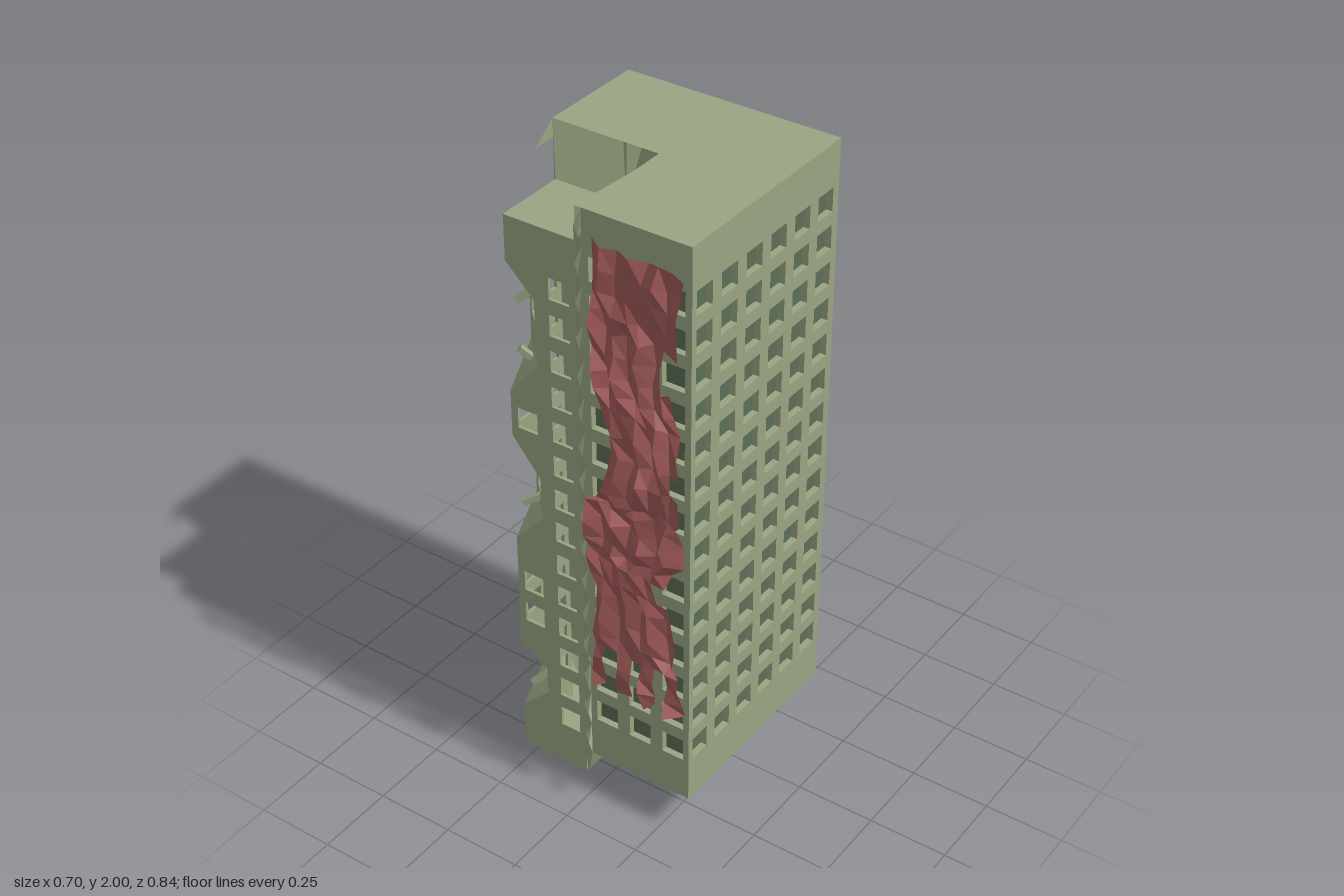
import * as THREE from 'three';
import { ConvexGeometry } from 'three/addons/geometries/ConvexGeometry.js';

const T = 0.02;                       // wall thickness
const X0 = -0.355, X1 = 0.34, Z0 = -0.335, Z1 = 0.36, BASE = 0.145, TOP = 2;
const NX = -0.005, NZ = 0.015;        // inner faces of the missing corner
const PX0 = -0.3, PX1 = -0.065, PZ0 = 0.08, PZ1 = 0.31, PTOP = 1.86; // sunken corner
const ROWS = Array.from({ length: 14 }, (_, i) => 0.323 + i * 0.1156);
const COLS_Z = [0.305, 0.19, 0.075, -0.04, -0.155, -0.27];
const COLS_X = [0.285, 0.17, 0.053, -0.063, -0.18, -0.285];
// Caved-in stretches of the sunken corner: upper end, upper bend, lower bend, lower end
const DENTS = [[1.72, 1.62, 1.42, 1.3], [1.15, 1.03, 0.9, 0.79], [0.4, 0.33, 0.25, 0.15]];
const BITE = 0.1;

const material = (color) => new THREE.MeshStandardMaterial({ color, flatShading: true, side: THREE.DoubleSide });
const concrete = material(0x9aa583), glass = material(0x5c6e57), cloth = material(0xa05a58);

let seed = 7;
const rand = () => (seed = (seed * 16807) % 2147483647) / 2147483647;

export function createModel() {
  const model = new THREE.Group();

  const add = (name, geometry, mat = concrete, parent = model) => {
    const mesh = new THREE.Mesh(geometry, mat);
    mesh.name = name;
    parent.add(mesh);
    return mesh;
  };

  // Triangles and quads given as lists of corners
  const faces = (name, polys, mat = concrete) => {
    const pos = [];
    for (const p of polys)
      for (let i = 1; i < p.length - 1; i++) pos.push(...p[0], ...p[i], ...p[i + 1]);
    const g = new THREE.BufferGeometry();
    g.setAttribute('position', new THREE.Float32BufferAttribute(pos, 3));
    g.computeVertexNormals();
    return add(name, g, mat);
  };

  // Wall panel with window openings; its outer face lies at local z = 0
  const wall = (name, outline, cols, rows, size = 0.074) => {
    const shape = new THREE.Shape(outline.map(([u, v]) => new THREE.Vector2(u, v)));
    const h = size / 2;
    for (const u of cols)
      for (const v of rows) {
        shape.holes.push(new THREE.Path([
          new THREE.Vector2(u - h, v - h), new THREE.Vector2(u - h, v + h),
          new THREE.Vector2(u + h, v + h), new THREE.Vector2(u + h, v - h)]));
      }
    const g = new THREE.ExtrudeGeometry(shape, { depth: T, bevelEnabled: false });
    return add(name, g.translate(0, 0, -T));
  };
  const rect = (a, b, y0 = BASE + T, y1 = TOP - T) => [[a, y0], [b, y0], [b, y1], [a, y1]];

  // L-shaped slab; inset pulls every side in
  const slab = (name, y0, y1, inset, mat) => {
    const a = X0 + inset, b = X1 - inset, c = Z0 + inset, d = Z1 - inset;
    const nx = NX + inset, nz = NZ - inset;
    const pts = [[a, c], [b, c], [b, d], [nx, d], [nx, nz], [a, nz]];
    const shape = new THREE.Shape(pts.map(([x, z]) => new THREE.Vector2(x, -z)));
    const g = new THREE.ExtrudeGeometry(shape, { depth: y1 - y0, bevelEnabled: false });
    add(name, g.rotateX(-Math.PI / 2).translate(0, y0, 0), mat);
  };

  // Main tower
  slab('roof', TOP - T, TOP, 0, concrete);
  slab('floorSlab', BASE, BASE + T, 0, concrete);
  slab('windowPanes', BASE + T, TOP - T, T, glass);
  wall('frontWall', rect(NX, X1), COLS_X.slice(0, 3), ROWS).position.z = Z1;
  const back = wall('backWall', rect(-X1, -X0), COLS_X.map((x) => -x), ROWS);
  back.rotation.y = Math.PI;
  back.position.z = Z0;
  const right = wall('rightSideWall', rect(-Z1, -Z0), COLS_Z.map((z) => -z), ROWS);
  right.rotation.y = Math.PI / 2;
  right.position.x = X1;
  const left = wall('leftSideWall', rect(Z0, NZ), COLS_Z.slice(3), ROWS);
  left.rotation.y = -Math.PI / 2;
  left.position.x = X0;
  wall('innerBackWall', rect(X0, NX + T), [], []).position.z = NZ;
  const inner = wall('innerSideWall', rect(NZ, Z1), [], []);
  inner.rotation.y = -Math.PI / 2;
  inner.position.x = NX;

  // Sunken corner: two thin walls whose shared edge is caved in
  const dentedOutline = (corner, far) => {
    const inU = corner + Math.sign(far - corner) * BITE;
    const pts = [[far, 0], [far, PTOP], [corner, PTOP]];
    for (const [a, b, c, d] of DENTS) pts.push([corner, a], [inU, b], [inU, c], [corner, d]);
    return [...pts, [corner, 0]];
  };
  const lowRows = ROWS.map((y) => y - 0.145);
  const dentFree = lowRows.filter((y) => DENTS.every((d) => y > d[0] + 0.04 || y < d[3] - 0.04));
  const addWindows = (mesh, col, cols, rows, outline, name) => {
    // far column keeps all its windows, the column near the edge only undamaged ones
    const shape = new THREE.Shape(outline.map(([u, v]) => new THREE.Vector2(u, v)));
    const h = 0.034;
    const cut = (u, v) => shape.holes.push(new THREE.Path([
      new THREE.Vector2(u - h, v - h), new THREE.Vector2(u - h, v + h),
      new THREE.Vector2(u + h, v + h), new THREE.Vector2(u + h, v - h)]));
    lowRows.forEach((v) => cut(col, v));
    rows.forEach((v) => cut(cols, v));
    const g = new THREE.ExtrudeGeometry(shape, { depth: 0.01, bevelEnabled: false });
    return add(name, g.translate(0, 0, -0.01));
  };
  addWindows(null, -0.122, -0.243, dentFree, dentedOutline(PX0, PX1), 'sunkenFrontWall').position.z = PZ1;
  const sunkenLeft = addWindows(null, 0.135, 0.255, dentFree, dentedOutline(PZ1, PZ0), 'sunkenSideWall');
  sunkenLeft.rotation.y = -Math.PI / 2;
  sunkenLeft.position.x = PX0;

  // Folded panels filling the dents
  const half = BITE / Math.SQRT2;
  DENTS.forEach(([a, b, c, d]) => {
    const f = (y) => [PX0 + BITE, y, PZ1], s = (y) => [PX0, y, PZ1 - BITE];
    faces('dentFolds', [
      [[PX0, a, PZ1], s(b), f(b)],
      [[PX0, d, PZ1], f(c), s(c)]]);
    const rows = lowRows.filter((y) => y < b - 0.035 && y > c + 0.035);
    const panel = wall('dentPanel', rect(-half, half, c, b), [0], rows, 0.06);
    panel.position.set(PX0 + BITE / 2, 0, PZ1 - BITE / 2);
    panel.rotation.y = -Math.PI / 4;
  });

  // Lower roof and the torn slopes rising to the main roof
  faces('sunkenRoof', [[[PX0, PTOP, PZ1], [PX1, PTOP, PZ1], [PX1, PTOP, PZ0], [PX0, PTOP, PZ0]]]);
  faces('roofTears', [
    [[X0, TOP, NZ], [PX0, PTOP, PZ0], [PX1, PTOP, PZ0], [-0.12, TOP, NZ]],
    [[-0.11, TOP, NZ], [PX1, PTOP, PZ0], [-0.06, TOP, NZ]],
    [[NX, TOP, 0.13], [PX1, PTOP, PZ0], [PX1, PTOP, PZ1], [-0.025, TOP, Z1], [NX, TOP, Z1]],
    [[NX, TOP, NZ], [PX1, PTOP, PZ0], [NX, TOP, 0.13]]]);

  // Slanted teeth between the left wall and the sunken corner
  const teeth = [];
  for (let i = 0; i < 16; i++) {
    const y = TOP - i * 0.1156, h = 0.08;
    teeth.push([[X0, y, NZ], [X0, y - 0.1, NZ], [PX0, y - 0.14 - h, PZ0], [PX0, y - 0.14, PZ0]]);
    if (i % 5 === 0) teeth.push([[X0, y, NZ], [X0, y - 0.06, NZ], [-0.345, y - 0.05, 0.105]]);
  }
  faces('sideTear', teeth);

  // Zigzag strip between the front wall and the sunken corner
  const zigzag = [];
  const outer = (i) => [i % 2 ? -0.03 : NX, TOP - i * 0.058, Z1];
  const low = (i) => [i % 2 ? PX1 : PX1 + 0.015, PTOP - i * 0.058, i % 2 ? PZ1 : PZ1 + 0.012];
  for (let i = 0; i < 32; i++) zigzag.push([outer(i), low(i), low(i + 1)], [outer(i), low(i + 1), outer(i + 1)]);
  faces('frontTear', zigzag);

  // Broken footing hanging below the sunken corner
  const b = [[PX0, 0, PZ1], [PX1, 0, PZ1], [PX1, 0, 0.02], [PX0, 0, 0.02]];
  const t = [[X0, BASE, 0.1], [X0, BASE, NZ], [-0.27, BASE, -0.04], [-0.1, BASE, -0.04], [NX, BASE, 0.06], [NX, BASE, Z1]];
  faces('brokenFooting', [
    [b[0], b[3], b[2], b[1]],
    [b[3], t[2], t[3], b[2]], [b[3], t[1], t[2]], [b[3], t[0], t[1]],
    [b[0], [PX0, BASE, PZ0], t[0], b[3]],
    [b[2], t[3], t[4]], [b[2], t[4], t[5], b[1]]]);

  // Lump of rubble at the foot of the back wall
  add('backRubble', new ConvexGeometry([
    [0, BASE, Z0], [0.225, BASE, Z0], [0.03, 0.21, Z0], [0.1, 0.26, Z0], [0.17, 0.23, Z0],
    [0.06, 0.17, -0.385], [0.09, BASE, -0.425], [0.135, BASE, -0.425], [0.09, 0.175, -0.425], [0.135, 0.17, -0.425],
  ].map((p) => new THREE.Vector3(...p))));

  // Snapped beams poking out of the dents
  for (const [y, tilt] of [[1.62, 0.7], [1.4, -0.7], [0.93, 0.5], [0.36, -0.6], [0.26, 0.7]]) {
    const beam = add('snappedBeam', new THREE.BoxGeometry(0.1, 0.018, 0.018));
    beam.position.set(-0.25, y, 0.265);
    beam.rotation.set(0, 0.5, tilt);
  }

  // Torn banner: height, left edge, right edge
  const edge = [[1.93, 0.05, 0.34], [1.8, 0.04, 0.32], [1.68, 0.04, 0.32], [1.55, 0.05, 0.3], [1.44, 0.07, 0.33], [1.3, 0.1, 0.33],
    [1.16, 0.07, 0.33], [1.12, 0.01, 0.32], [1, 0.02, 0.33], [0.92, 0.02, 0.28], [0.8, 0.03, 0.31], [0.65, 0.03, 0.32], [0.56, 0.03, 0.32], [0.46, 0.03, 0.33]];
  const N = 7, grid = [];
  const R = 2 * (edge.length - 1);
  for (let r = 0; r <= R; r++) {
    const k = Math.min(Math.floor(r / 2), edge.length - 2), f = r / 2 - k;
    const [y, l, e] = edge[k].map((v, j) => v + (edge[k + 1][j] - v) * f);
    grid.push(Array.from({ length: N + 1 }, (_, c) => [
      l + (e - l) * c / N + (rand() - 0.5) * 0.018,
      y + (rand() - 0.5) * 0.022,
      0.395 + (c % 2 ? 0.012 : -0.012) * Math.cos(r * 0.6) + (rand() - 0.5) * 0.026]));
  }
  const patches = [];
  for (let r = 0; r < R; r++)
    for (let c = 0; c < N; c++) {
      if (r >= R - 3 && c % 2) continue;                          // tattered hem
      if (c === N - 1 && [4, 5, 10, 18].includes(r)) continue;    // rips on the edge
      patches.push([grid[r][c], grid[r + 1][c], grid[r + 1][c + 1], grid[r][c + 1]]);
    }
  faces('tornBanner', patches, cloth);

  return model;
}
